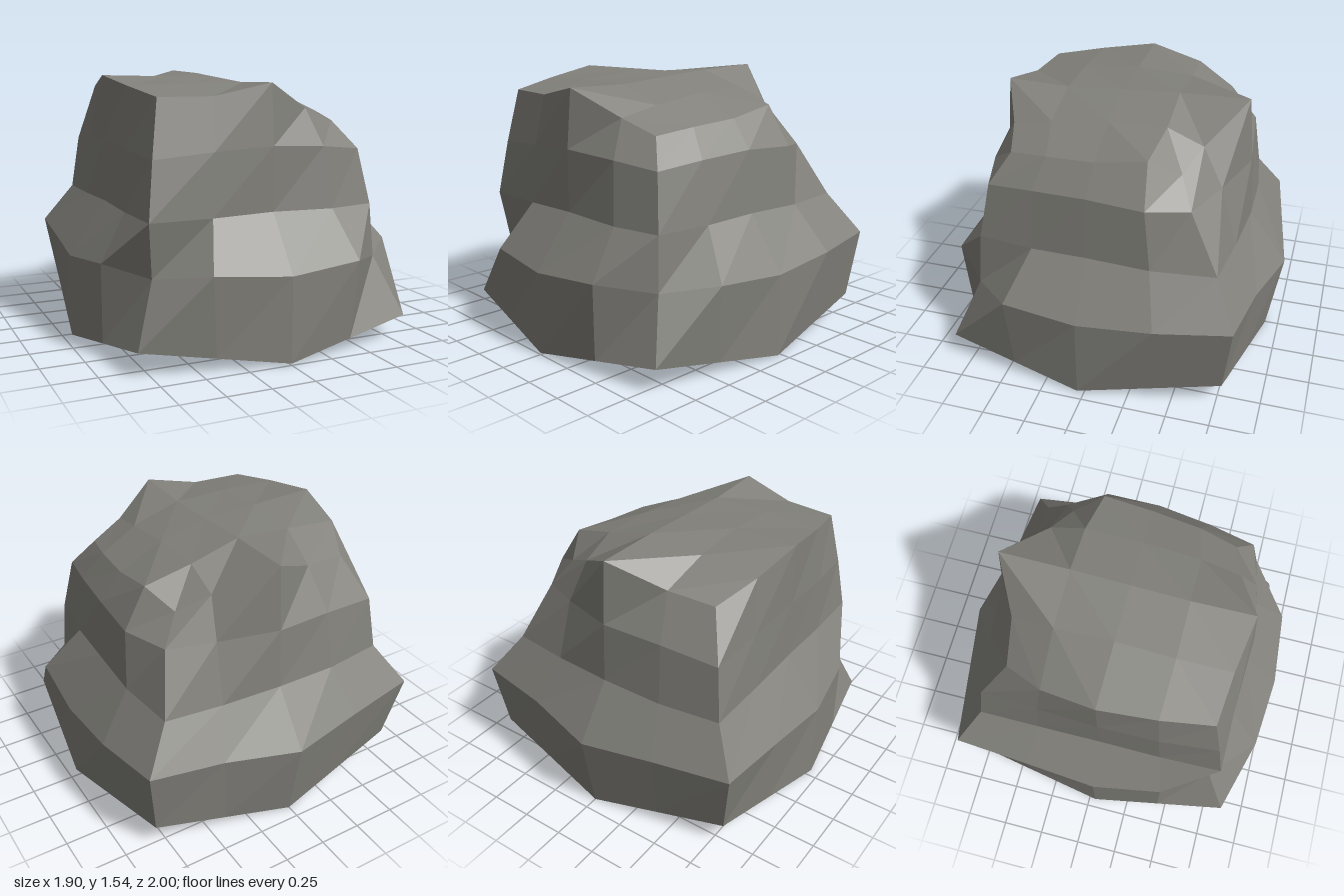
import * as THREE from 'three';

// Each ring runs counter-clockwise seen from above, from the front right corner:
// front, left side, back, right side, four steps each.

// Heights of a ring repeat along each side: corner, quarter, middle, quarter.
function level(heights, plan) {
  return plan.map(([x, z], i) => new THREE.Vector3(x, heights[i % 4], z));
}

// Foot: corners lifted, sides bowed between corner and middle
function footRing() {
  const stops = [
    [-0.82, 0.14, 0.86], [0, 0.01, 1], [0.82, 0.14, 0.86], [0.95, 0.01, 0.04],
    [0.82, 0.14, -0.78], [0, 0, -0.92], [-0.82, 0.14, -0.78], [-0.95, 0.01, 0.04],
  ].map((p) => new THREE.Vector3(...p));
  return stops.flatMap((p, i) => [p, p.clone().lerp(stops[(i + 1) % 8], 0.5)]);
}

// Wide skirt
const skirt = level([0.48, 0.525, 0.49, 0.525], [
  [-0.69, 0.72], [-0.44, 0.96], [0, 1], [0.44, 0.96],
  [0.69, 0.72], [0.92, 0.48], [0.95, 0.04], [0.94, -0.4],
  [0.87, -0.83], [0.44, -0.89], [0, -1], [-0.44, -0.925],
  [-0.89, -0.85], [-0.92, -0.4], [-0.95, 0.04], [-0.885, 0.45],
]);
skirt[8].y = skirt[12].y = 0.55;

// Waist
const waist = level([0.79, 0.79, 0.8, 0.79], [
  [-0.72, 0.77], [-0.36, 0.77], [0, 0.77], [0.38, 0.76],
  [0.67, 0.7], [0.71, 0.37], [0.73, 0.04], [0.74, -0.33],
  [0.7, -0.7], [0.36, -0.74], [0, -0.77], [-0.37, -0.76],
  [-0.73, -0.71], [-0.73, -0.34], [-0.73, 0.03], [-0.73, 0.4],
]);

// Shoulder
const shoulder = level([1.11, 1.14, 1.16, 1.14], [
  [-0.68, 0.72], [-0.34, 0.75], [0, 0.77], [0.34, 0.72],
  [0.61, 0.65], [0.66, 0.37], [0.7, 0.04], [0.71, -0.29],
  [0.59, -0.52], [0.34, -0.64], [0, -0.75], [-0.35, -0.71],
  [-0.69, -0.67], [-0.71, -0.33], [-0.73, 0.03], [-0.72, 0.38],
]);

// Uneven rim of the crown
const rim = [
  [-0.63, 1.43, 0.66], [-0.32, 1.43, 0.69], [0, 1.5, 0.74], [0.28, 1.35, 0.61],
  [0.49, 1.27, 0.55], [0.54, 1.3, 0.32], [0.57, 1.32, 0.03], [0.57, 1.37, -0.27],
  [0.48, 1.27, -0.44], [0.3, 1.36, -0.52], [0, 1.54, -0.72], [-0.3, 1.39, -0.57],
  [-0.57, 1.36, -0.52], [-0.68, 1.46, -0.29], [-0.73, 1.53, 0.03], [-0.69, 1.48, 0.36],
].map((p) => new THREE.Vector3(...p));

// Fill a ring with a 5 x 5 grid; inner(row, column) gives the nine inside points.
function cap(ring, inner) {
  const grid = [];
  for (let r = 0; r < 5; r++) {
    grid.push([]);
    for (let c = 0; c < 5; c++) {
      let p;
      if (r === 0) p = ring[c];
      else if (c === 4) p = ring[4 + r];
      else if (r === 4) p = ring[12 - c];
      else if (c === 0) p = ring[16 - r];
      else p = inner(r, c);
      grid[r].push(p);
    }
  }
  return grid;
}

export function createModel() {
  const stone = new THREE.MeshStandardMaterial({ color: 0x82817b, flatShading: true });
  stone.name = 'grey stone';

  const positions = [];
  const quad = (a, b, c, d) => {
    for (const p of [a, b, c, a, c, d]) positions.push(p.x, p.y, p.z);
  };

  // Walls between neighbouring rings
  const foot = footRing();
  const rings = [foot, skirt, waist, shoulder, rim];
  for (let k = 0; k < 4; k++) {
    for (let i = 0; i < 16; i++) {
      const j = (i + 1) % 16;
      quad(rings[k][i], rings[k][j], rings[k + 1][j], rings[k + 1][i]);
    }
  }

  // Crown, sloping down to the left
  const rowZ = [0.37, 0.03, -0.31];
  const colX = [-0.34, 0, 0.3];
  const crownY = [[1.49, 1.49, 1.4], [1.52, 1.51, 1.44], [1.5, 1.53, 1.45]];
  const top = cap(rim, (r, c) =>
    new THREE.Vector3(colX[c - 1], crownY[r - 1][c - 1], rowZ[r - 1]));

  // Underside, rising toward the corners
  const under = cap(foot, (r, c) => new THREE.Vector3(
    (c - 2) * 0.44, 0.035 * Math.abs((c - 2) * (r - 2)), 0.04 - (r - 2) * 0.46));

  for (let r = 0; r < 4; r++) {
    for (let c = 0; c < 4; c++) {
      quad(top[r][c], top[r][c + 1], top[r + 1][c + 1], top[r + 1][c]);
      quad(under[r][c], under[r + 1][c], under[r + 1][c + 1], under[r][c + 1]);
    }
  }

  const geometry = new THREE.BufferGeometry();
  geometry.setAttribute('position', new THREE.Float32BufferAttribute(positions, 3));
  geometry.computeVertexNormals();

  const boulder = new THREE.Mesh(geometry, stone);
  boulder.name = 'boulder';
  const group = new THREE.Group();
  group.name = 'rock';
  group.add(boulder);
  return group;
}
